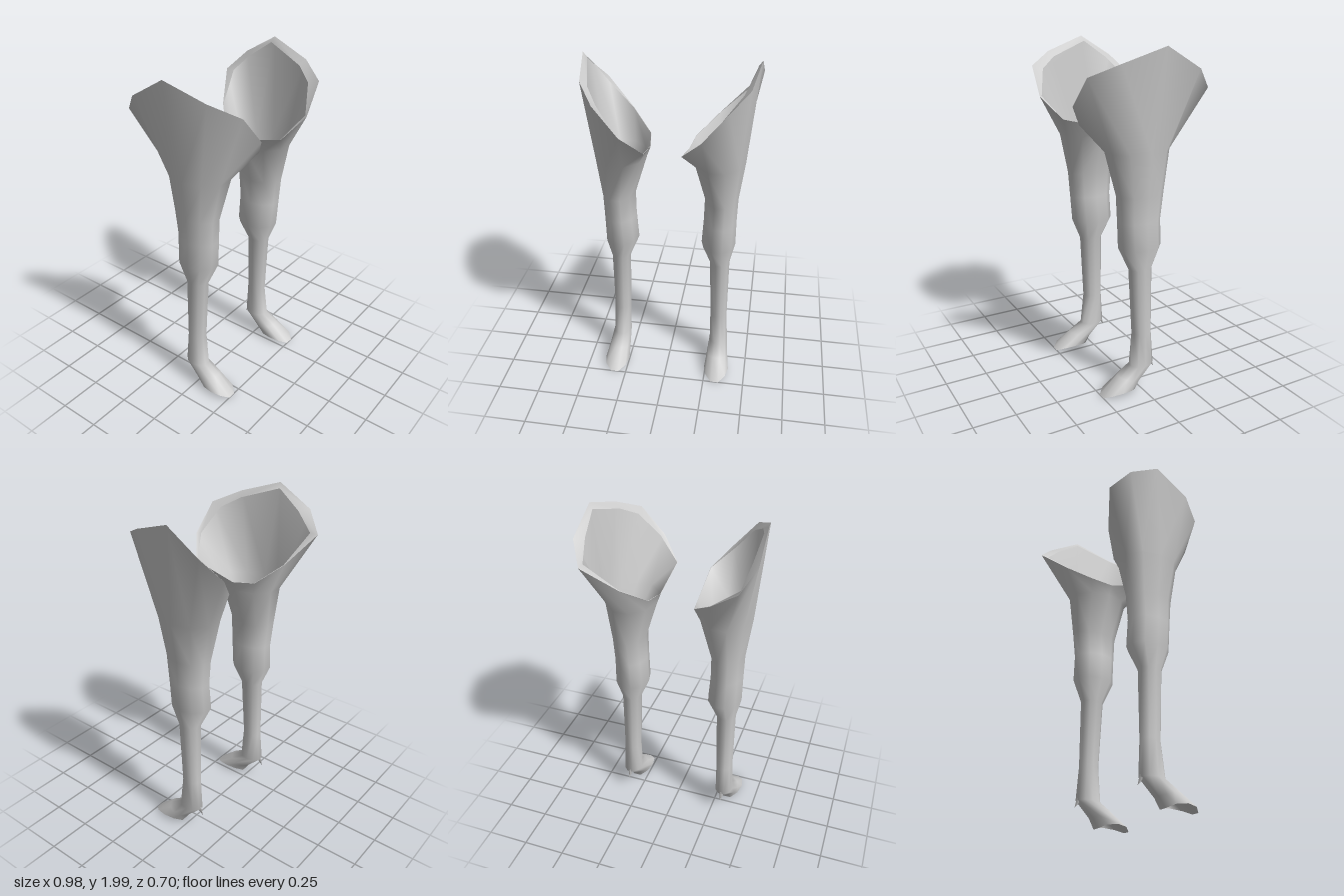
import * as THREE from 'three';

const SIDES = 10;

// Upper opening of the thigh, from the outer peak round the front to the back
const RIM = [
  [0.48, 2.0, -0.05], [0.44, 1.92, 0.19], [0.345, 1.85, 0.335], [0.21, 1.69, 0.35], [0.1, 1.57, 0.26],
  [0.108, 1.5, 0], [0.13, 1.52, -0.135], [0.25, 1.62, -0.25], [0.42, 1.77, -0.35], [0.488, 1.88, -0.25],
];
// Inner edge of the lip around the opening
const LIP = [
  [0.46, 1.97, -0.06], [0.405, 1.89, 0.17], [0.34, 1.83, 0.27], [0.23, 1.69, 0.33], [0.102, 1.57, 0.258],
  [0.11, 1.5, 0], [0.132, 1.52, -0.133], [0.25, 1.62, -0.245], [0.42, 1.77, -0.3], [0.445, 1.87, -0.2],
];
// Cross-sections down the leg: y, min x, max x, min z, max z, rise to the front, lift of the sides
const SECTIONS = [
  [1.44, 0.13, 0.427, -0.178, 0.178, 0, 0],
  [1.2, 0.203, 0.396, -0.142, 0.128, 0, 0],
  [1.05, 0.2, 0.392, -0.127, 0.118, 0, 0],
  [0.89, 0.19, 0.392, -0.134, 0.108, 0, 0],
  [0.76, 0.245, 0.363, -0.077, 0.055, 0, 0],
  [0.36, 0.258, 0.362, -0.077, 0.035, 0, 0],
  [0.16, 0.26, 0.372, -0.09, 0.055, 0, 0],
  [0.09, 0.252, 0.385, 0.005, 0.135, 0.02, 0],
  [0.0, 0.245, 0.398, 0.04, 0.25, 0, 0.04],
];

function ring([y, x0, x1, z0, z1, tilt, lift]) {
  return Array.from({ length: SIDES }, (_, i) => {
    const a = (i / SIDES) * Math.PI * 2;
    const s = Math.sin(a) / Math.sin(Math.PI * 0.4);
    const c = Math.cos(a);
    return [
      (x0 + x1) / 2 + (c * (x1 - x0)) / 2,
      y + tilt * s + lift * Math.abs(c),
      (z0 + z1) / 2 + (s * (z1 - z0)) / 2,
    ];
  });
}

// Skin a list of rings; side = -1 mirrors the result in x
function loft(rings, side) {
  const index = [];
  for (let r = 0; r < rings.length - 1; r++) {
    for (let i = 0; i < SIDES; i++) {
      const a = r * SIDES + i;
      const b = r * SIDES + ((i + 1) % SIDES);
      const c = a + SIDES;
      const d = b + SIDES;
      if (side > 0) index.push(a, b, c, b, d, c);
      else index.push(a, c, b, b, c, d);
    }
  }
  const points = rings.flat().flatMap(([x, y, z]) => [x * side, y, z]);
  const geometry = new THREE.BufferGeometry();
  geometry.setAttribute('position', new THREE.Float32BufferAttribute(points, 3));
  geometry.setIndex(index);
  geometry.computeVertexNormals();
  return geometry;
}

export function createModel() {
  const model = new THREE.Group();
  model.name = 'legPair';
  const material = new THREE.MeshStandardMaterial({ color: 0xcccccc, side: THREE.DoubleSide });

  for (const side of [1, -1]) {
    const leg = new THREE.Group();
    leg.name = side > 0 ? 'leftLeg' : 'rightLeg';
    const add = (name, geometry) => {
      const mesh = new THREE.Mesh(geometry, material);
      mesh.name = name;
      leg.add(mesh);
      return mesh;
    };

    // Thigh, shin and hollow foot in one skin
    add('legSkin', loft([RIM, ...SECTIONS.map(ring)], side));
    // Narrow lip folded in at the opening
    add('thighLip', loft([LIP, RIM], side));
    // Small claw behind the ankle
    const claw = add('rearClaw', new THREE.ConeGeometry(0.016, 0.06, 4));
    claw.position.set(0.315 * side, 0.14, -0.092);
    claw.rotation.x = Math.PI + 0.5;

    model.add(leg);
  }
  return model;
}
